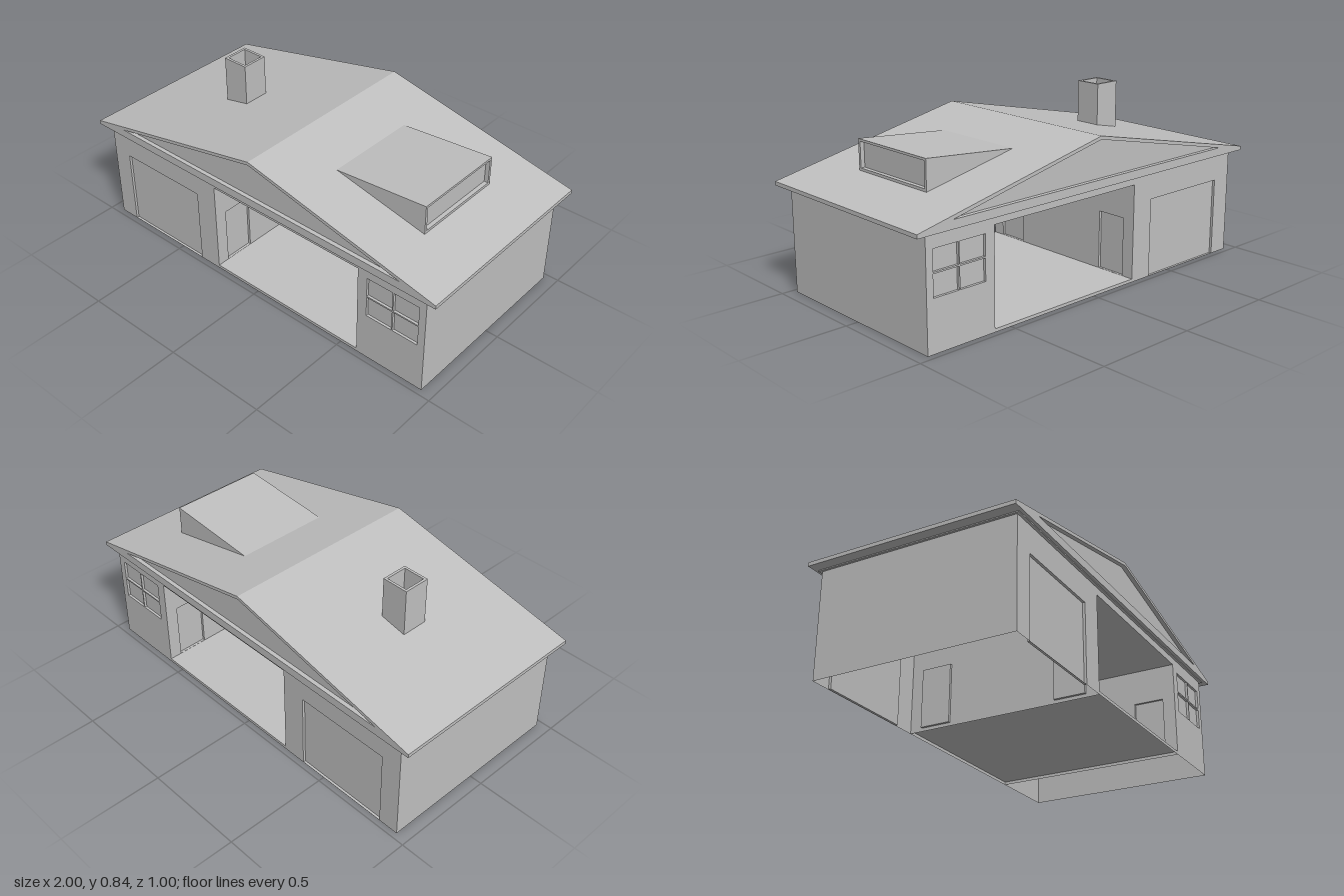
import * as THREE from 'three';

const grey = new THREE.MeshStandardMaterial({ color: 0xc0c0c0, side: THREE.DoubleSide });
grey.name = 'plain grey';

function add(parent, name, geometry, x = 0, y = 0, z = 0) {
  const mesh = new THREE.Mesh(geometry, grey);
  mesh.name = name;
  mesh.position.set(x, y, z);
  parent.add(mesh);
  return mesh;
}

function polygon(points, holes = []) {
  const toV = (list) => list.map(([x, y]) => new THREE.Vector2(x, y));
  const shape = new THREE.Shape(toV(points));
  for (const hole of holes) shape.holes.push(new THREE.Path(toV(hole)));
  return shape;
}

const rect = ([x0, x1, y0, y1]) => [[x0, y0], [x1, y0], [x1, y1], [x0, y1]];
const extrude = (shape, depth) => new THREE.ExtrudeGeometry(shape, { depth, bevelEnabled: false });

// Sheet wall facing local +z, with shallow recesses and through openings
function panel(name, outline, recesses = [], openings = [], depth = 0.012) {
  const group = new THREE.Group();
  group.name = name;
  const holes = [...recesses, ...openings].map(rect);
  add(group, name + 'Sheet', new THREE.ShapeGeometry(polygon(rect(outline), holes)));
  for (const [x0, x1, y0, y1] of recesses) {
    const box = new THREE.BoxGeometry(x1 - x0, y1 - y0, depth);
    const index = Array.from(box.index.array);
    index.splice(24, 6); // leave the outer face open
    box.setIndex(index);
    box.clearGroups();
    add(group, name + 'Recess', box, (x0 + x1) / 2, (y0 + y1) / 2, -depth / 2);
  }
  return group;
}

export function createModel() {
  const house = new THREE.Group();
  house.name = 'house';
  const W = 0.94, D = 0.472, H = 0.505; // wall half width, half depth, height
  const L = -0.253, R = 0.588; // sides of the open passage

  // Long walls: garage door, passage opening and four-pane window
  const garageDoor = [-0.84, -0.37, 0.001, 0.375];
  const panes = [];
  for (const [x0, x1] of [[0.637, 0.77], [0.776, 0.905]]) {
    for (const [y0, y1] of [[0.235, 0.335], [0.342, 0.438]]) panes.push([x0, x1, y0, y1]);
  }
  const passage = [L, R, 0.015, 0.465];
  const flip = ([x0, x1, y0, y1]) => [-x1, -x0, y0, y1];
  const recesses = [garageDoor, ...panes];

  const front = panel('frontWall', [-W, W, 0, H], recesses, [passage]);
  front.position.z = D;
  const back = panel('backWall', [-W, W, 0, H], recesses.map(flip), [flip(passage)]);
  back.position.z = -D;
  back.rotation.y = Math.PI;
  house.add(front, back);

  // End walls, and passage walls with a door near each end
  const doors = [[-0.41, -0.262, 0.016, 0.295], [0.262, 0.41, 0.016, 0.295]];
  const crossWalls = [
    ['leftEndWall', W, 1, []], ['rightEndWall', -W, -1, []],
    ['leftPassageWall', R, -1, doors], ['rightPassageWall', L, 1, doors],
  ];
  for (const [name, x, facing, openings] of crossWalls) {
    const wall = panel(name, [-D, D, 0, openings.length ? 0.465 : H], openings);
    wall.position.x = x;
    wall.rotation.y = facing * Math.PI / 2;
    house.add(wall);
  }

  // Passage floor and ceiling
  const deck = new THREE.PlaneGeometry(R - L, 2 * D);
  add(house, 'passageFloor', deck, (L + R) / 2, 0.015).rotation.x = -Math.PI / 2;
  add(house, 'passageCeiling', deck, (L + R) / 2, 0.465).rotation.x = Math.PI / 2;

  // Roof with inset triangular gables
  const gable = [[-0.825, 0.544], [0.825, 0.544], [0, 0.722]];
  const roofOutline = [[-1, H], [1, H], [1, 0.523], [0, 0.738], [-1, 0.523]];
  add(house, 'roof', extrude(polygon(roofOutline, [gable]), 1), 0, 0, -0.5);
  const gableSheet = new THREE.ShapeGeometry(polygon(gable));
  for (const side of [1, -1]) {
    add(house, 'gable', gableSheet, 0, 0, side * 0.48).rotation.y = side > 0 ? 0 : Math.PI;
  }
  add(house, 'eaveTrim', new THREE.BoxGeometry(1.9, 0.005, 0.97), 0, 0.5025, 0);

  // Hollow chimney
  const square = (r) => rect([-r, r, -r, r]);
  const flue = extrude(polygon(square(0.065), [square(0.053)]), 0.243);
  flue.rotateX(-Math.PI / 2);
  add(house, 'chimney', flue, -0.5, 0.6, 0);

  // Dormer: wedge cheeks, sloping top and a recessed window
  const dormer = new THREE.Group();
  dormer.name = 'dormer';
  const cheek = polygon([[0.26, 0.68], [0.741, 0.577], [0.741, 0.72]]);
  const cheekSheet = new THREE.ShapeGeometry(cheek);
  for (const side of [1, -1]) {
    add(dormer, 'dormerCheek', cheekSheet, 0, 0, side * 0.233).rotation.y = 0;
  }
  const run = 0.481, rise = 0.04;
  const top = new THREE.PlaneGeometry(Math.hypot(run, rise), 0.466);
  top.rotateX(-Math.PI / 2);
  add(dormer, 'dormerTop', top, 0.5005, 0.7, 0).rotation.z = Math.atan2(rise, run);
  const face = panel('dormerWindow', [-0.233, 0.233, 0.577, 0.72],
    [[-0.22, 0.22, 0.591, 0.709]], [], 0.02);
  face.position.x = 0.741;
  face.rotation.y = Math.PI / 2;
  dormer.add(face);
  house.add(dormer);

  return house;
}
